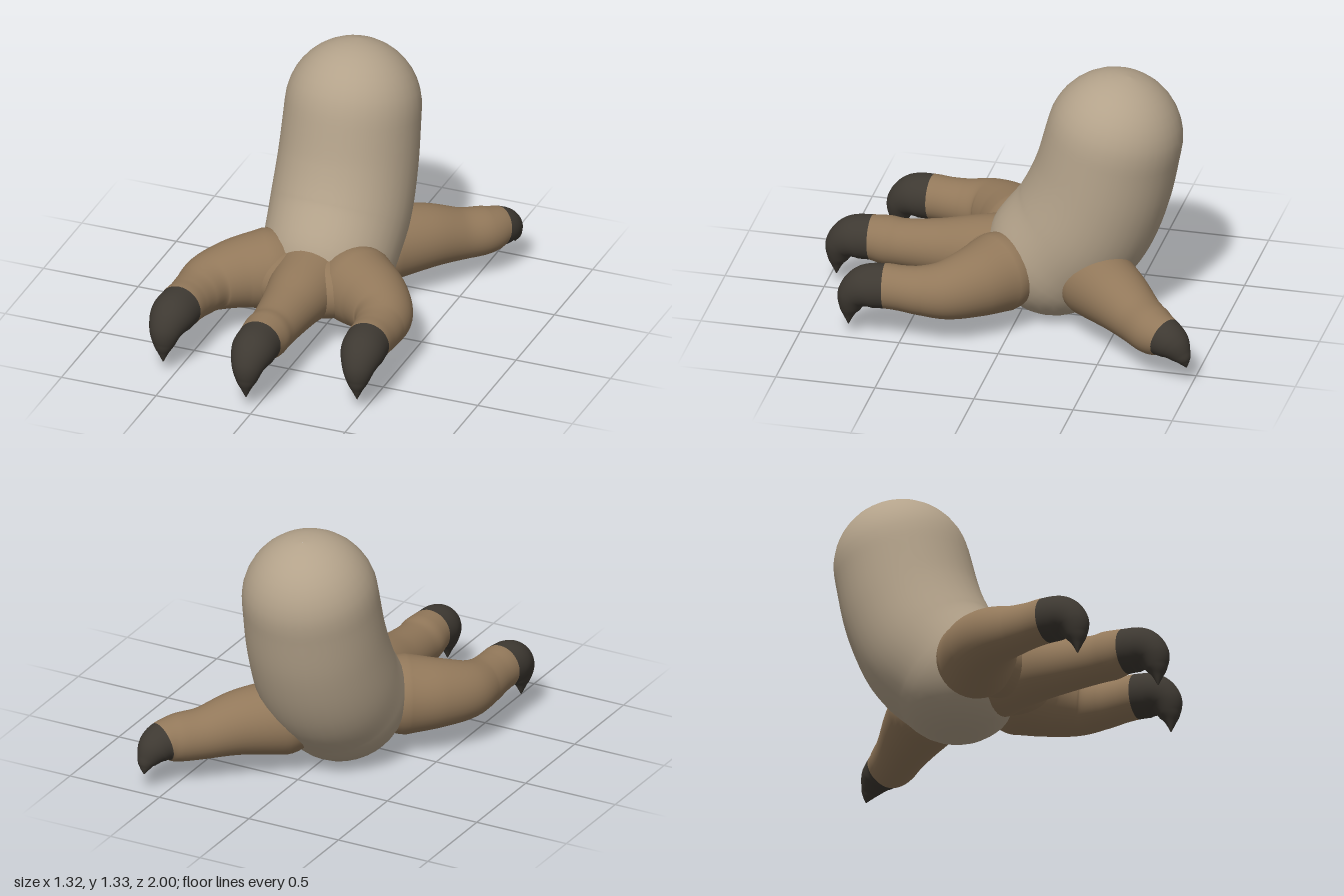
import * as THREE from 'three';

const SIDES = 36, STEPS = 8, CAP = 10;
const CENTRE = -0.045; // the foot's own mirror line

// Sweeps a round section along points [x, y, z, radius], with a domed start.
// From control point `split` on, the second material is used.
function limb(name, pts, materials, { split = 0, domedEnd = false } = {}) {
  const path = new THREE.CatmullRomCurve3(pts.map(p => new THREE.Vector3(p[0], p[1], p[2])), false, 'catmullrom');
  const size = new THREE.CatmullRomCurve3(pts.map(p => new THREE.Vector3(p[3], 0, 0)), false, 'catmullrom');
  const rings = [];
  const n = (pts.length - 1) * STEPS;
  const dome = (t, dir) => {
    const c = path.getPoint(t), tan = path.getTangent(t), r = size.getPoint(t).x;
    const out = [];
    for (let k = 0; k < CAP; k++) {
      const a = (k / CAP) * Math.PI / 2;
      out.push({ c: c.clone().addScaledVector(tan, dir * r * Math.cos(a)), tan, r: Math.max(r * Math.sin(a), 0.001) });
    }
    return out;
  };
  rings.push(...dome(0, -1));
  for (let i = 0; i <= n; i++) {
    const t = i / n;
    rings.push({ c: path.getPoint(t), tan: path.getTangent(t), r: Math.max(size.getPoint(t).x, 0.002) });
  }
  if (domedEnd) rings.push(...dome(1, 1).reverse());

  const pos = [], index = [];
  const side = new THREE.Vector3(1, 0, 0), up = new THREE.Vector3(), v = new THREE.Vector3();
  rings.forEach(({ c, tan, r }, i) => {
    side.addScaledVector(tan, -side.dot(tan)).normalize();
    up.crossVectors(tan, side);
    for (let j = 0; j < SIDES; j++) {
      const a = (j / SIDES) * Math.PI * 2;
      v.copy(c).addScaledVector(side, r * Math.cos(a)).addScaledVector(up, r * Math.sin(a));
      pos.push(v.x, v.y, v.z);
      if (i === rings.length - 1) continue;
      const p = i * SIDES + j, q = i * SIDES + (j + 1) % SIDES;
      index.push(p, q, p + SIDES, q, q + SIDES, p + SIDES);
    }
  });
  const geo = new THREE.BufferGeometry();
  geo.setAttribute('position', new THREE.Float32BufferAttribute(pos, 3));
  geo.setIndex(index);
  geo.computeVertexNormals();
  if (split) {
    const at = (CAP + split * STEPS) * SIDES * 6;
    geo.addGroup(0, at, 0);
    geo.addGroup(at, index.length - at, 1);
  }
  const mesh = new THREE.Mesh(geo, materials);
  mesh.name = name;
  return mesh;
}

// Hooked claw, starting at the end of a front toe
const claw = (x, z, drift) => [
  [0, 0.28, 0.112], [0.09, 0.27, 0.108], [0.15, 0.225, 0.085],
  [0.172, 0.155, 0.054], [0.177, 0.11, 0.027], [0.178, 0.06, 0.002],
].map(([dz, y, r]) => [x + drift * dz, y, z + dz, r]);

export function createModel() {
  const group = new THREE.Group();
  group.name = 'clawedFoot';
  const mat = (name, color) => {
    const m = new THREE.MeshStandardMaterial({ color });
    m.name = name;
    return m;
  };
  const legSkin = mat('legSkin', 0xb3a28a);
  const toeSkin = mat('toeSkin', 0x92785a);
  const clawHorn = mat('clawHorn', 0x3e3932);
  const toeMats = [toeSkin, clawHorn];

  // Leg with a rounded heel and top
  group.add(limb('leg', [
    [CENTRE, 0.335, -0.155, 0.335],
    [CENTRE, 0.5, -0.29, 0.349],
    [CENTRE, 0.72, -0.388, 0.346],
    [CENTRE, 0.99, -0.455, 0.337],
  ], legSkin, { domedEnd: true }));

  // Web joining the front toes
  const web = new THREE.Mesh(new THREE.SphereGeometry(1, 40, 24), toeSkin);
  web.name = 'toeWeb';
  web.scale.set(0.34, 0.165, 0.19);
  web.position.set(CENTRE, 0.28, 0.115);
  group.add(web);

  // Middle front toe
  group.add(limb('middleToe', [
    [CENTRE, 0.285, 0.08, 0.198],
    [CENTRE, 0.285, 0.25, 0.165],
    [CENTRE, 0.275, 0.42, 0.137],
    [CENTRE, 0.27, 0.6, 0.12],
    [CENTRE, 0.275, 0.69, 0.122],
    ...claw(CENTRE, 0.77, 0),
  ], toeMats, { split: 5 }));

  // Outer front toes, mirrored
  for (const [name, s] of [['leftToe', 1], ['rightToe', -1]]) {
    const x = d => CENTRE + s * d;
    group.add(limb(name, [
      [x(0.24), 0.29, 0.075, 0.2],
      [x(0.36), 0.285, 0.165, 0.175],
      [x(0.455), 0.275, 0.28, 0.148],
      [x(0.482), 0.27, 0.4, 0.124],
      [x(0.49), 0.275, 0.5, 0.113],
      ...claw(x(0.495), 0.585, s * 0.1),
    ], toeMats, { split: 5 }));
  }

  // Back toe with a smaller claw
  group.add(limb('backToe', [
    [0.14, 0.275, -0.41, 0.19],
    [0.29, 0.27, -0.555, 0.163],
    [0.42, 0.24, -0.69, 0.13],
    [0.515, 0.232, -0.785, 0.12],
    [0.563, 0.228, -0.855, 0.1],
    [0.585, 0.2, -0.91, 0.083],
    [0.598, 0.155, -0.95, 0.05],
    [0.6, 0.125, -0.965, 0.028],
    [0.6, 0.093, -0.975, 0.002],
  ], toeMats, { split: 4 }));

  return group;
}
